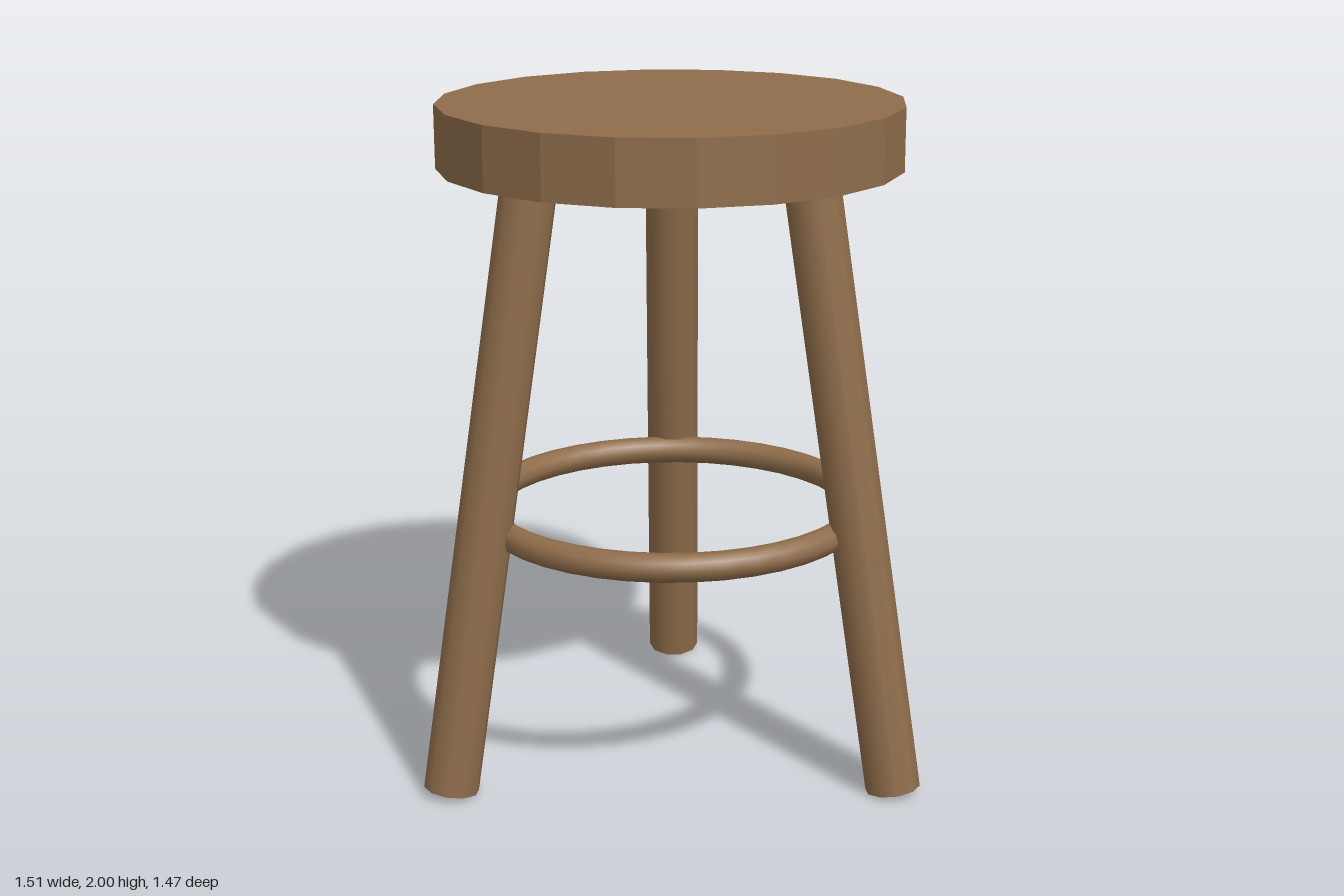
import * as THREE from 'three';

export function createModel() {
  const model = new THREE.Group();
  model.name = 'stool';

  const wood = new THREE.MeshStandardMaterial({ color: 0x8f6d4b });
  wood.name = 'brown wood';
  const flatWood = wood.clone();
  flatWood.flatShading = true;

  const add = (parent, name, geometry, material) => {
    const mesh = new THREE.Mesh(geometry, material);
    mesh.name = name;
    parent.add(mesh);
    return mesh;
  };

  // The three-legged footprint puts the seat axis left of the overall centre
  const stool = new THREE.Group();
  stool.name = 'stoolBody';
  stool.position.x = -0.08;
  model.add(stool);

  // Faceted round seat
  add(stool, 'seat', new THREE.CylinderGeometry(0.68, 0.68, 0.185, 20), flatWood).position.y = 1.9075;

  // Splayed legs, their tops sunk into the seat
  const radius = 0.082;
  const tilt = Math.atan2(0.302, 1.805);
  const length = 1.9;
  for (let i = 0; i < 3; i++) {
    const pivot = new THREE.Group();
    pivot.name = 'legPivot' + (i + 1);
    pivot.rotation.y = (i * Math.PI * 2) / 3;
    const geometry = new THREE.CylinderGeometry(radius, radius, length, 10);
    geometry.translate(0, length / 2, 0);
    const leg = add(pivot, 'leg' + (i + 1), geometry, wood);
    leg.position.set(0.757, 0.013, 0);
    leg.rotation.z = tilt;
    stool.add(pivot);
  }

  // Footrest ring
  const ring = add(stool, 'footRing', new THREE.TorusGeometry(0.56, 0.042, 10, 40), wood);
  ring.rotation.x = Math.PI / 2;
  ring.position.y = 0.775;

  return model;
}
